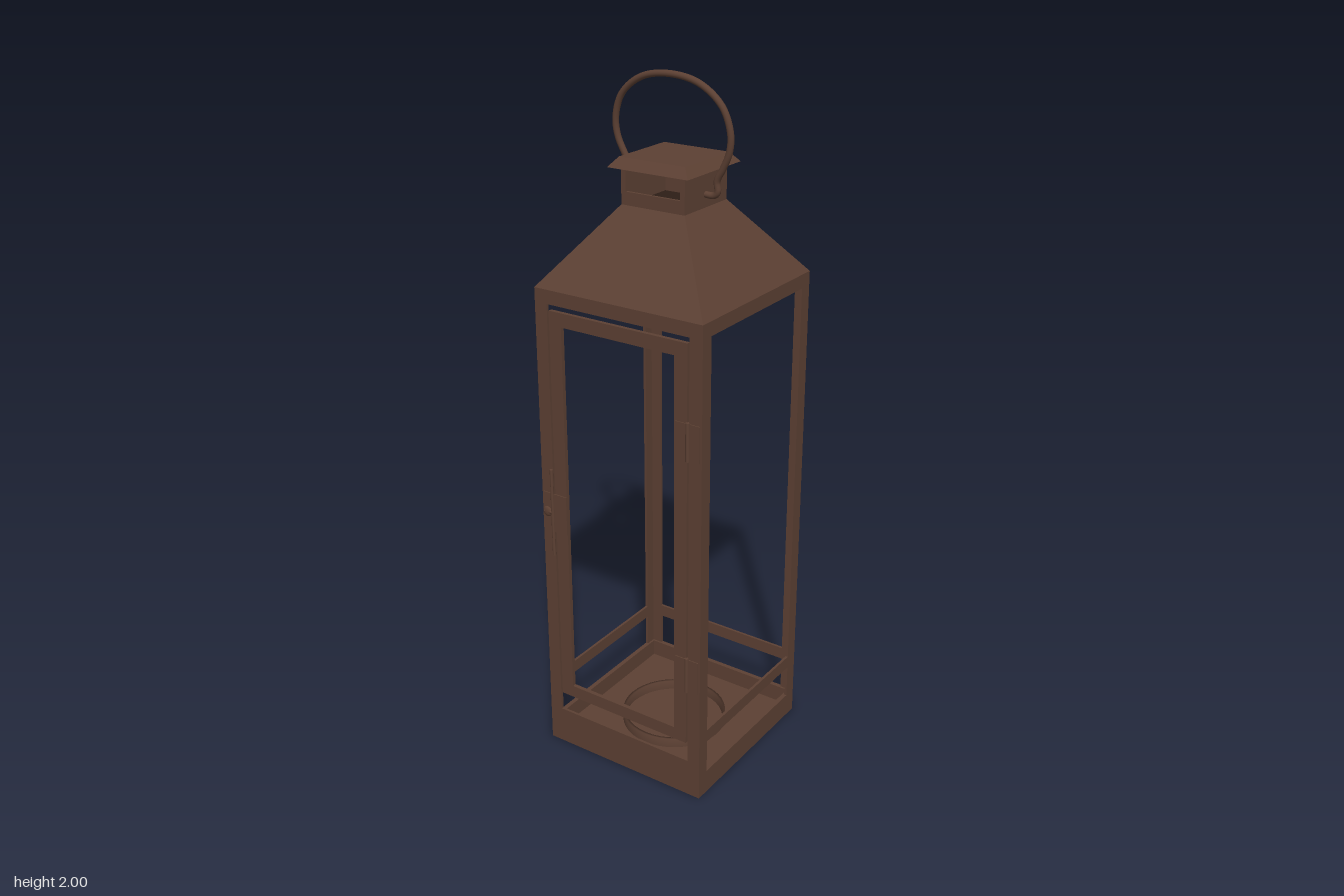
import * as THREE from 'three';

const bronze = new THREE.MeshStandardMaterial({ color: 0x5c4033, side: THREE.DoubleSide });
bronze.name = 'brown metal';

const H = 0.268;      // half width of the body
const BAR = 0.04;     // width of the metal strips
const T = 0.008;      // sheet thickness

function add(parent, name, geometry, x = 0, y = 0, z = 0) {
  const mesh = new THREE.Mesh(geometry, bronze);
  mesh.name = name;
  mesh.position.set(x, y, z);
  parent.add(mesh);
  return mesh;
}

// Box given by its lower and upper limits
function slab(parent, name, x0, x1, y0, y1, z0, z1) {
  return add(parent, name, new THREE.BoxGeometry(x1 - x0, y1 - y0, z1 - z0),
    (x0 + x1) / 2, (y0 + y1) / 2, (z0 + z1) / 2);
}

// Hollow four-sided frustum with flat faces
function frustum(parent, name, top, bottom, y0, y1) {
  const g = new THREE.CylinderGeometry(top * Math.SQRT2, bottom * Math.SQRT2, y1 - y0, 4, 1, true)
    .rotateY(Math.PI / 4).toNonIndexed();
  g.computeVertexNormals();
  return add(parent, name, g, 0, (y0 + y1) / 2, 0);
}

// Four sides share one builder, which works on the +z side
function eachSide(parent, name, build) {
  for (let i = 0; i < 4; i++) {
    const side = new THREE.Group();
    side.name = name;
    side.rotation.y = i * Math.PI / 2;
    build(side, i);
    parent.add(side);
  }
}

export function createModel() {
  const model = new THREE.Group();
  model.name = 'lantern';
  const body = new THREE.Group();
  body.name = 'body';
  body.position.z = -0.006;
  model.add(body);

  // Base tray with a candle ring
  slab(body, 'baseFloor', -H, H, 0, 0.02, -H, H);
  eachSide(body, 'baseSide', side => slab(side, 'baseWall', -H, H, 0, 0.072, H - 0.014, H));
  const ring = new THREE.LatheGeometry([
    new THREE.Vector2(0.158, 0.02), new THREE.Vector2(0.158, 0.05),
    new THREE.Vector2(0.15, 0.05), new THREE.Vector2(0.15, 0.02)], 40).toNonIndexed();
  add(body, 'candleRing', ring);

  // Angle-iron posts and rails
  eachSide(body, 'frameSide', (side, i) => {
    for (const s of [-1, 1]) {
      add(side, 'postFlange', new THREE.BoxGeometry(BAR, 1.37, T), s * (H - BAR / 2), 0.757, H - T / 2);
    }
    const inner = H - BAR;
    slab(side, 'topRail', -inner, inner, 1.402, 1.442, H - T, H);
    if (i === 0) slab(side, 'sillRail', -inner, inner, 0.072, 0.115, H - T, H);
    else slab(side, 'lowerRail', -inner, inner, 0.175, 0.213, H - T, H);
  });

  // Door
  const door = new THREE.Group();
  door.name = 'door';
  body.add(door);
  for (const s of [-1, 1]) {
    add(door, 'doorStile', new THREE.BoxGeometry(0.04, 1.21, 0.012), s * 0.202, 0.78, H - 0.006);
  }
  slab(door, 'doorTopRail', -0.182, 0.182, 1.345, 1.385, H - 0.012, H);
  slab(door, 'doorBottomRail', -0.182, 0.182, 0.175, 0.213, H - 0.012, H);

  // Hinges
  for (const y of [0.405, 1.115]) {
    slab(body, 'hingePlate', 0.187, 0.262, y - 0.052, y + 0.052, H, H + 0.003);
    add(body, 'hingePin', new THREE.CylinderGeometry(0.006, 0.006, 0.11, 12), 0.225, y, H + 0.002);
  }

  // Latch
  slab(body, 'latchPlate', -0.262, -0.182, 0.72, 0.84, H, H + 0.003);
  add(body, 'latchRod', new THREE.CylinderGeometry(0.005, 0.005, 0.27, 12), -0.231, 0.78, H + 0.003);
  const lever = add(body, 'latchLever', new THREE.CylinderGeometry(0.005, 0.005, 0.03, 12), -0.245, 0.78, H + 0.003);
  lever.rotation.z = Math.PI / 2;
  add(body, 'latchKnob', new THREE.SphereGeometry(0.016, 16, 10).scale(1, 1, 0.4), -0.25, 0.78, H + 0.002);

  // Roof, vented neck and cap
  frustum(body, 'roof', 0.1, H, 1.442, 1.655);
  for (const s of [-1, 1]) {
    const wall = s * (0.1 - T / 2);
    add(body, 'neckSide', new THREE.BoxGeometry(T, 0.105, 0.2), wall, 1.7055, 0);
    add(body, 'neckBand', new THREE.BoxGeometry(0.2, 0.038, T), 0, 1.672, wall);
    for (const x of [-1, 1]) {
      add(body, 'ventEdge', new THREE.BoxGeometry(0.014, 0.105, T), x * 0.093, 1.7055, wall);
    }
  }
  frustum(body, 'capSlope', 0.103, 0.126, 1.755, 1.782);
  slab(body, 'capTop', -0.103, 0.103, 1.778, 1.782, -0.103, 0.103);

  // Tilted wire handle
  const half = [[0.095, 1.69], [0.125, 1.69], [0.137, 1.7], [0.136, 1.73], [0.155, 1.765],
    [0.175, 1.81], [0.179, 1.86], [0.155, 1.925], [0.09, 1.975]];
  const outline = [...half.map(([x, y]) => [-x, y]), [0, 1.991], ...half.slice().reverse()];
  const path = new THREE.CatmullRomCurve3(outline.map(([x, y]) =>
    new THREE.Vector3(x, y, -0.004 + (y - 1.69) * 0.06)));
  add(model, 'handle', new THREE.TubeGeometry(path, 120, 0.009, 12, false));

  return model;
}
